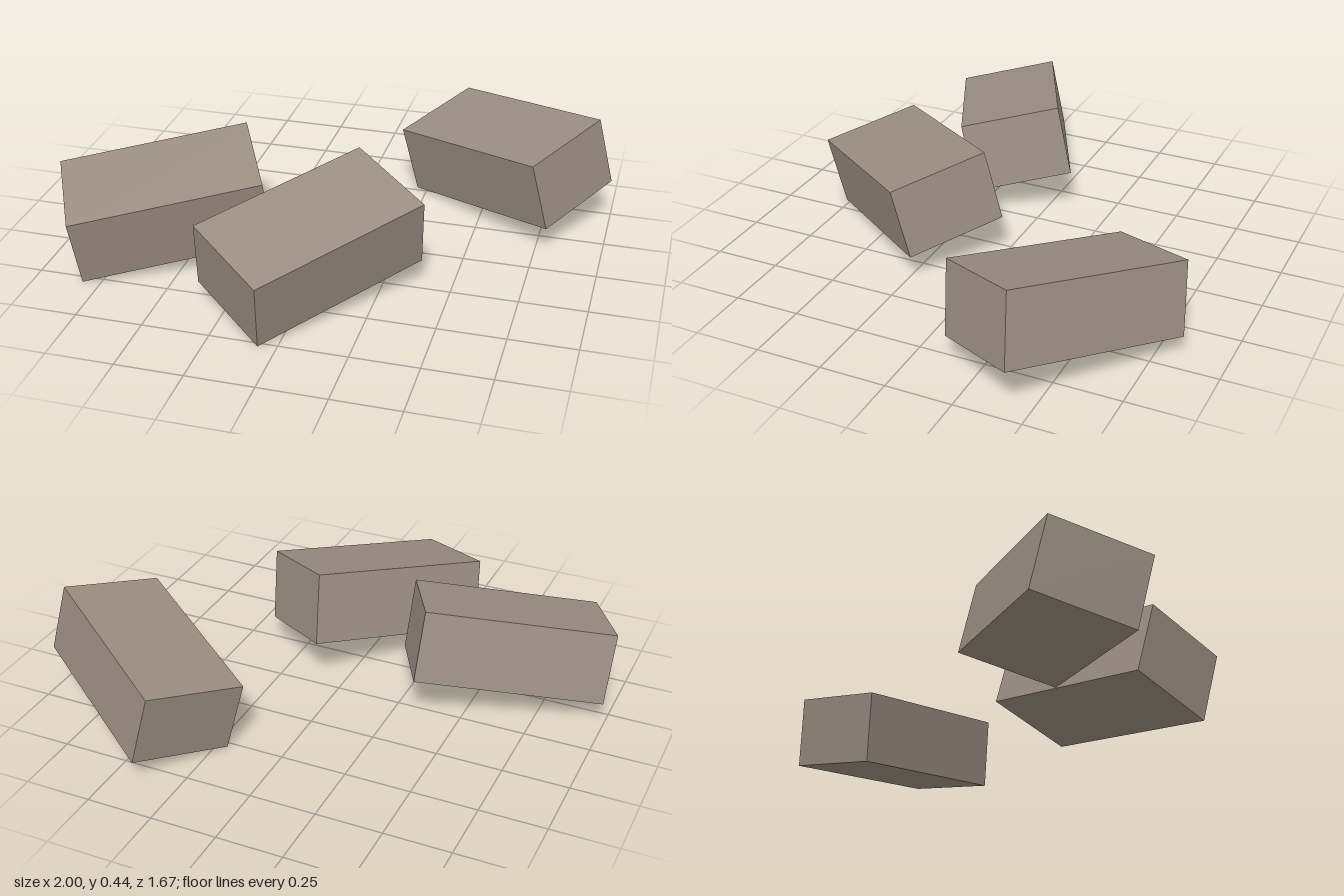
import * as THREE from 'three';

// Three identical loose bricks, each pitched and rolled the same way, then turned about y
export function createModel() {
  const model = new THREE.Group();
  const stone = new THREE.MeshStandardMaterial({ color: 0x9a8e82 });
  stone.name = 'warm grey stone';

  const brick = new THREE.BoxGeometry(0.715, 0.273, 0.386);
  const rad = THREE.MathUtils.degToRad;
  const roll = rad(11.3);
  const pitch = rad(8.45);

  // name, centre x, centre z, turn in degrees
  const bricks = [
    ['leftBrick', 0.571, -0.469, -34.7],
    ['middleBrick', 0.02, 0.414, 50],
    ['rightBrick', -0.589, 0.25, 25],
  ];
  for (const [name, x, z, turn] of bricks) {
    const mesh = new THREE.Mesh(brick, stone);
    mesh.name = name;
    mesh.position.set(x, 0.226, z);
    mesh.rotation.set(roll, rad(turn), pitch, 'YZX');
    model.add(mesh);
  }
  return model;
}
